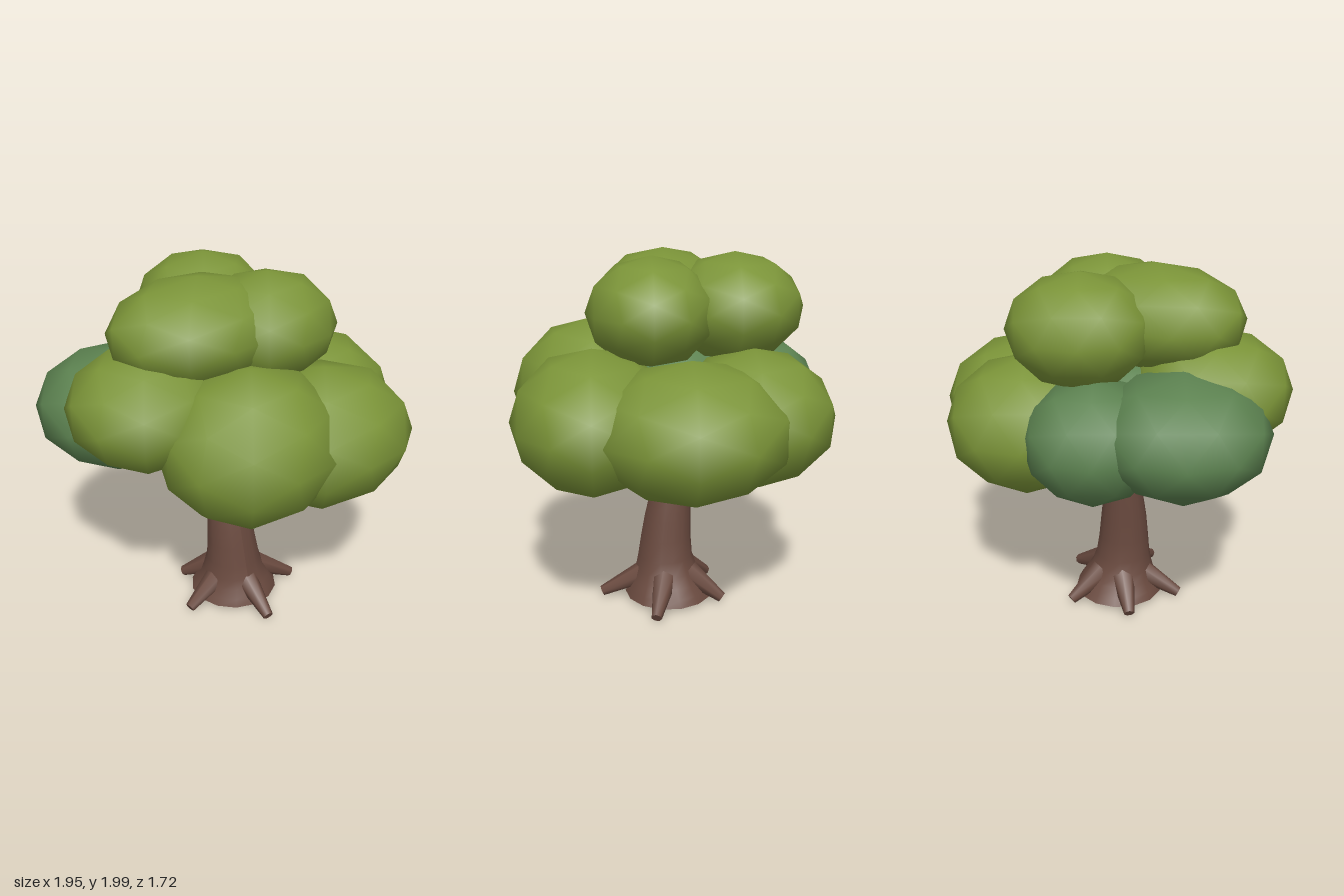
import * as THREE from 'three';

const leafGreen = new THREE.MeshStandardMaterial({ color: 0x7b9438 });
leafGreen.name = 'leaf green';
const shadeGreen = new THREE.MeshStandardMaterial({ color: 0x5c8250 });
shadeGreen.name = 'deep green';
const bark = new THREE.MeshStandardMaterial({ color: 0x6a4a3f });
bark.name = 'bark brown';

const UP = new THREE.Vector3(0, 1, 0);

function add(parent, name, geometry, material) {
  const mesh = new THREE.Mesh(geometry, material);
  mesh.name = name;
  parent.add(mesh);
  return mesh;
}

// Tapered limb between two points
function limb(parent, name, from, to, r0, r1) {
  const a = new THREE.Vector3(...from), b = new THREE.Vector3(...to);
  const dir = b.clone().sub(a);
  const mesh = add(parent, name, new THREE.CylinderGeometry(r1, r0, dir.length(), 7), bark);
  mesh.position.copy(a).add(b).multiplyScalar(0.5);
  mesh.quaternion.setFromUnitVectors(UP, dir.normalize());
}

// Leaning trunk lofted through rings of [y, centre x, centre z, radius]
function trunkGeometry() {
  const rings = [
    [0.03, 0, 0, 0.255], [0.07, 0, 0.005, 0.235], [0.12, 0, 0.01, 0.205],
    [0.18, -0.01, 0.015, 0.178], [0.26, -0.015, 0.02, 0.157], [0.38, -0.023, 0.015, 0.143],
    [0.5, -0.03, 0.004, 0.132], [0.6, -0.035, -0.008, 0.12],
    [0.7, -0.04, -0.022, 0.108], [0.8, -0.04, -0.035, 0.098], [0.9, -0.04, -0.045, 0.105],
  ];
  const geometry = new THREE.CylinderGeometry(1, 1, 1, 14, rings.length - 1);
  const p = geometry.attributes.position;
  for (let i = 0; i < p.count; i++) {
    const [y, cx, cz, r] = rings[Math.round((p.getY(i) + 0.5) * (rings.length - 1))];
    p.setXYZ(i, cx + p.getX(i) * r, y, cz + p.getZ(i) * r);
  }
  geometry.computeVertexNormals();
  return geometry;
}

export function createModel() {
  const tree = new THREE.Group();
  tree.name = 'tree';

  add(tree, 'trunk', trunkGeometry(), bark);

  // Five roots around the foot, as tip positions [x, z]
  const roots = new THREE.Group();
  roots.name = 'roots';
  tree.add(roots);
  for (const [x, z] of [[0.01, 0.39], [0.35, 0.09], [0.14, -0.3], [-0.22, -0.24], [-0.35, 0.1]]) {
    const d = Math.hypot(x, z);
    limb(roots, 'root', [x / d * 0.12, 0.16, z / d * 0.12], [x, 0.035, z], 0.072, 0.03);
  }

  // Short branch stubs reaching into the leaves
  const branches = new THREE.Group();
  branches.name = 'branches';
  tree.add(branches);
  for (let i = 0; i < 5; i++) {
    const a = i * Math.PI * 0.4 + 0.6;
    const s = Math.sin(a), c = Math.cos(a);
    limb(branches, 'branch', [-0.04 + s * 0.05, 0.81, -0.04 + c * 0.05],
      [-0.035 + s * 0.13, 0.92, -0.045 + c * 0.13], 0.045, 0.035);
  }

  // Faceted ball shared by all leaf clumps, with a corner facing the front
  const ball = new THREE.IcosahedronGeometry(1, 1);
  ball.rotateX(Math.atan(2 / (1 + Math.sqrt(5))));
  ball.rotateZ(Math.PI / 2);

  // Leaf clumps: name, centre, radii, material
  const clumps = [
    ['frontRightClump', [-0.135, 1.22, 0.41], [0.49, 0.415, 0.45], leafGreen],
    ['frontLeftClump', [0.3, 1.17, 0.41], [0.51, 0.38, 0.435], leafGreen],
    ['leftClump', [0.52, 1.17, -0.08], [0.475, 0.36, 0.52], leafGreen],
    ['backLeftClump', [0.3, 1.175, -0.42], [0.435, 0.365, 0.44], leafGreen],
    ['rightClump', [-0.53, 1.375, 0.05], [0.425, 0.315, 0.42], leafGreen],
    ['backRightClump', [-0.55, 1.25, -0.29], [0.45, 0.32, 0.455], shadeGreen],
    ['backClump', [-0.16, 1.2, -0.49], [0.365, 0.32, 0.37], shadeGreen],
    ['innerClump', [-0.1, 1.21, -0.07], [0.42, 0.34, 0.4], shadeGreen],
    ['topRightClump', [-0.22, 1.725, 0.02], [0.49, 0.275, 0.375], leafGreen],
    ['topLeftClump', [0.14, 1.705, 0.1], [0.38, 0.29, 0.345], leafGreen],
    ['topBackClump', [0.01, 1.71, -0.35], [0.38, 0.29, 0.375], leafGreen],
  ];
  const crown = new THREE.Group();
  crown.name = 'crown';
  tree.add(crown);
  for (const [name, centre, radii, material] of clumps) {
    const clump = add(crown, name, ball, material);
    clump.position.set(...centre);
    clump.scale.set(...radii);
  }
  return tree;
}
